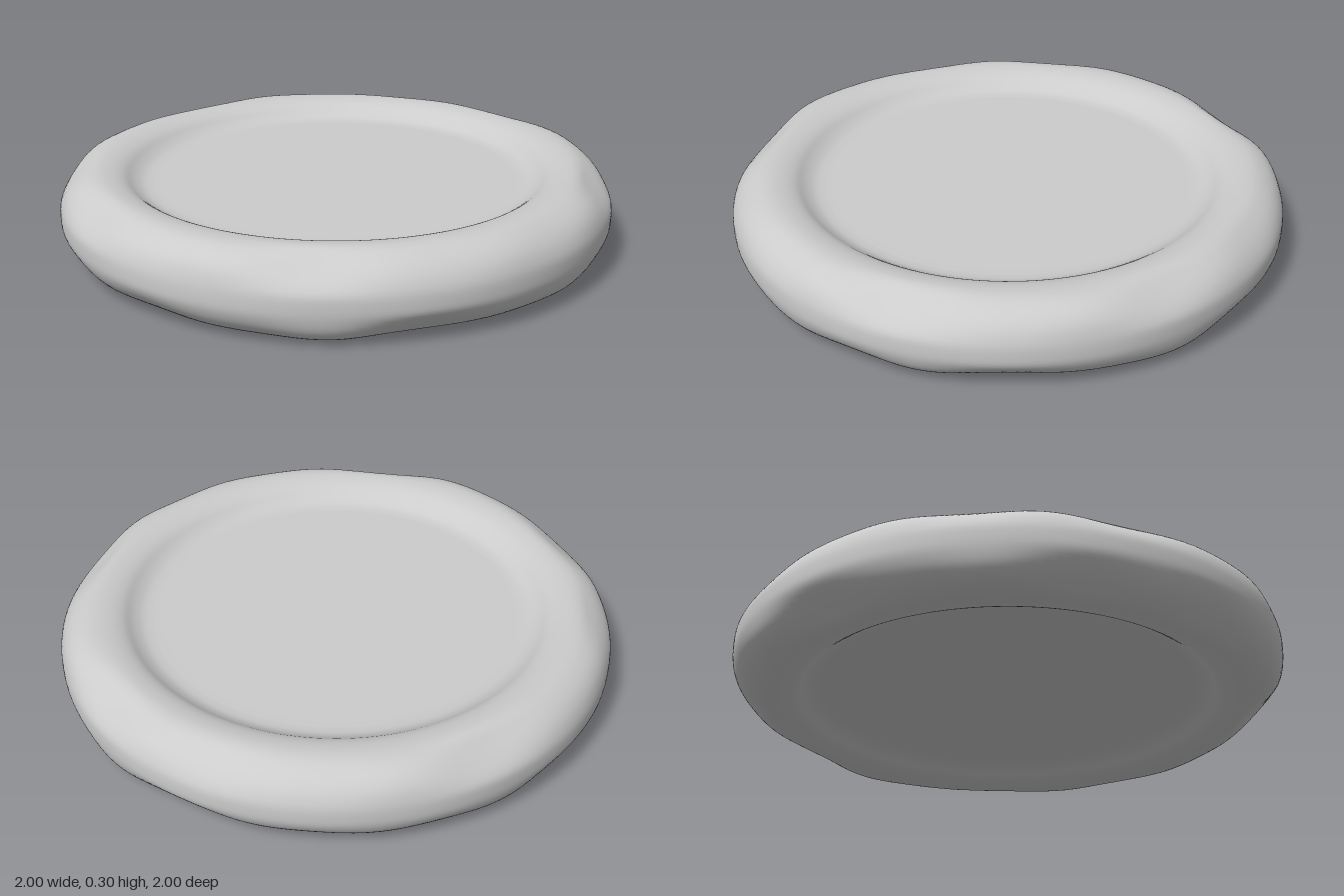
import * as THREE from 'three';
import { mergeVertices } from 'three/addons/utils/BufferGeometryUtils.js';

const MID = 0.15; // half the thickness

// Half cross-section (radius, height above mid-plane), from floor edge to outer wall
const HALF = [
  [0.66, 0.085], [0.7, 0.09], [0.735, 0.106], [0.77, 0.13], [0.81, 0.144], [0.86, 0.15],
  [0.91, 0.147], [0.955, 0.128], [0.983, 0.095], [0.996, 0.05], [1, 0],
];

// Gentle irregular wear around the rim, 0..1, different on each face
function wear(angle, face) {
  const p = face > 0 ? 0.6 : 2.3;
  const s = Math.sin(5 * angle + p) + 0.8 * Math.sin(8 * angle + 2 * p) + 0.5 * Math.sin(13 * angle - p);
  return THREE.MathUtils.clamp(0.5 + s / 4.6, 0, 1);
}

function discGeometry() {
  const bottom = HALF.map(([r, h]) => new THREE.Vector2(r, MID - h));
  const top = HALF.slice(0, -1).reverse().map(([r, h]) => new THREE.Vector2(r, MID + h));
  const ring = new THREE.SplineCurve([...bottom, ...top]).getPoints(80);
  const profile = [
    new THREE.Vector2(0, ring[0].y), new THREE.Vector2(0.62, ring[0].y),
    ...ring,
    new THREE.Vector2(0.62, ring[80].y), new THREE.Vector2(0, ring[80].y),
  ];
  const geo = new THREE.LatheGeometry(profile, 144);

  // Soften the outer corners unevenly
  const pos = geo.attributes.position;
  for (let i = 0; i < pos.count; i++) {
    const x = pos.getX(i), y = pos.getY(i), z = pos.getZ(i);
    const r = Math.hypot(x, z);
    const dy = y - MID;
    const w = THREE.MathUtils.smoothstep(r, 0.84, 0.96) * THREE.MathUtils.smoothstep(Math.abs(dy), 0.02, 0.13);
    if (w === 0) continue;
    const a = w * wear(Math.atan2(z, x), dy);
    const k = (r - 0.03 * a) / r;
    pos.setXYZ(i, x * k, y - Math.sign(dy) * 0.024 * a, z * k);
  }
  // Weld the seam so the shading is continuous
  geo.deleteAttribute('uv');
  geo.deleteAttribute('normal');
  const welded = mergeVertices(geo, 1e-5);
  welded.computeVertexNormals();
  return welded;
}

export function createModel() {
  const group = new THREE.Group();
  group.name = 'recessedDisc';
  const material = new THREE.MeshStandardMaterial({ color: 0xcccccc });
  const disc = new THREE.Mesh(discGeometry(), material);
  disc.name = 'disc';
  group.add(disc);
  return group;
}
